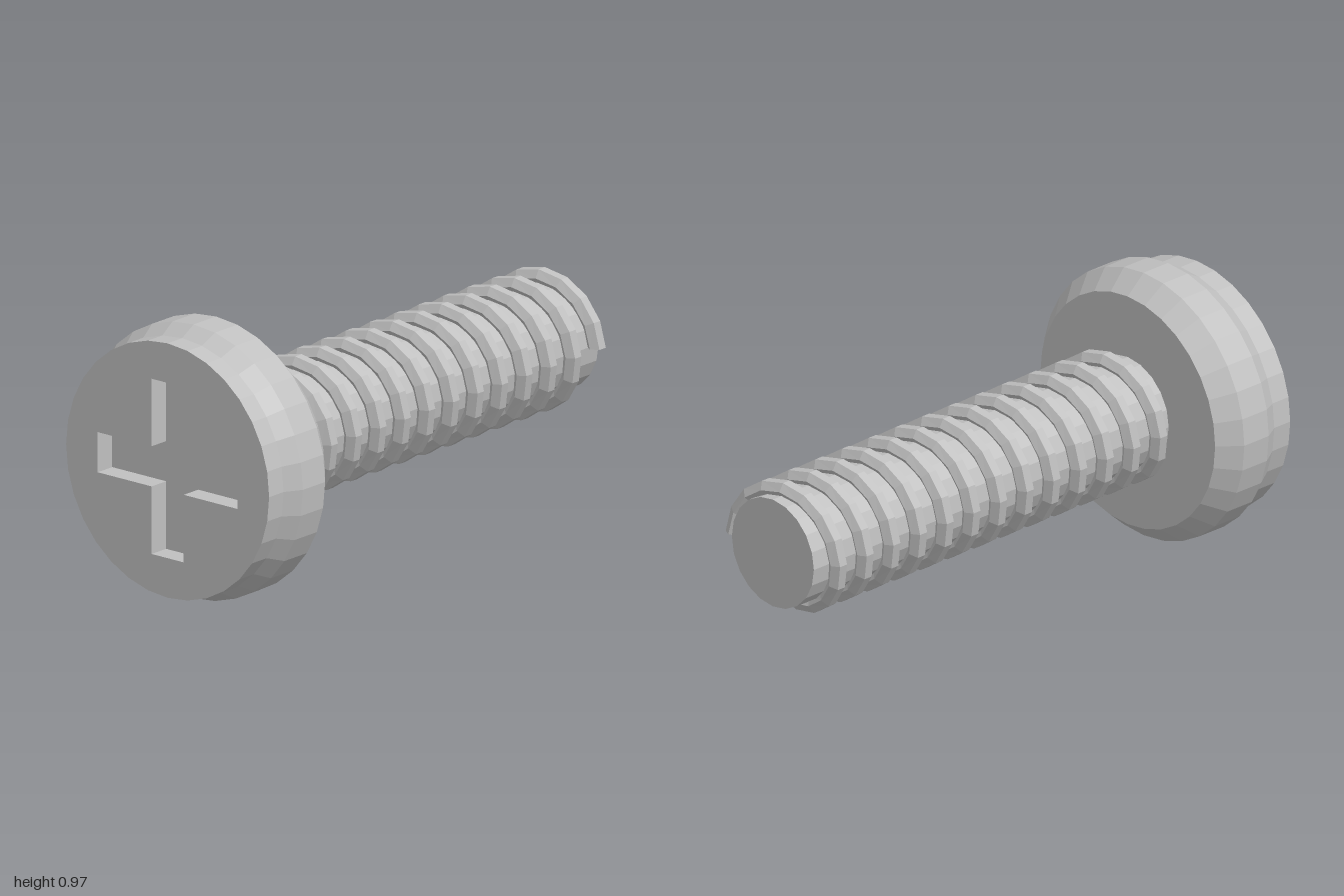
import * as THREE from 'three';

const AXIS_Y = 0.486;
const SHAFT_R = 0.197;

// Closed hexagonal ridge wound around the z axis
function helixGeometry({ radius, ridge, pitch, zTop, start, end, stepsPerTurn }) {
  const sides = 6;
  const steps = Math.round(((end - start) / (2 * Math.PI)) * stepsPerTurn);
  const pos = [];
  const idx = [];
  for (let i = 0; i <= steps; i++) {
    const t = start + ((end - start) * i) / steps;
    const z = zTop - (pitch * t) / (2 * Math.PI);
    for (let j = 0; j < sides; j++) {
      const a = ((j + 0.5) / sides) * 2 * Math.PI;
      const r = radius + ridge * Math.cos(a);
      pos.push(r * Math.sin(t), r * Math.cos(t), z + ridge * Math.sin(a));
    }
  }
  for (let i = 0; i < steps; i++) {
    for (let j = 0; j < sides; j++) {
      const k = (j + 1) % sides;
      const a = i * sides + j, b = i * sides + k;
      idx.push(a, b, b + sides, a, b + sides, a + sides);
    }
  }
  // End caps
  const last = steps * sides;
  for (let j = 1; j < sides - 1; j++) {
    idx.push(0, j + 1, j, last, last + j, last + j + 1);
  }
  const g = new THREE.BufferGeometry();
  g.setAttribute('position', new THREE.Float32BufferAttribute(pos, 3));
  g.setIndex(idx);
  g.computeVertexNormals();
  return g;
}

// Plus-shaped outline for the driver recess
function crossPath(length, half) {
  const l = length, h = half;
  return new THREE.Path([
    [h, h], [h, l], [-h, l], [-h, h], [-l, h], [-l, -h],
    [-h, -h], [-h, -l], [h, -l], [h, -h], [l, -h], [l, h],
  ].map(([x, y]) => new THREE.Vector2(x, y)));
}

export function createModel() {
  const model = new THREE.Group();
  model.name = 'screw';
  const steel = new THREE.MeshStandardMaterial({ color: 0xc0c0c0, flatShading: true });
  steel.name = 'steel grey';

  const add = (name, geometry) => {
    const mesh = new THREE.Mesh(geometry, steel);
    mesh.name = name;
    mesh.position.y = AXIS_Y;
    model.add(mesh);
  };

  // Head with bevelled rims; its front is the floor of the recess
  const profile = [
    [0, 0.675], [0.42, 0.675], [0.484, 0.75], [0.484, 0.865], [0.45, 0.925], [0, 0.925],
  ].map(([r, z]) => new THREE.Vector2(r, z));
  add('head', new THREE.LatheGeometry(profile, 32).rotateX(Math.PI / 2));

  // Front plate with the cross cut through it
  const disc = new THREE.Shape();
  for (let i = 0; i < 32; i++) {
    const a = (i / 32) * 2 * Math.PI;
    disc[i ? 'lineTo' : 'moveTo'](0.45 * Math.cos(a), 0.45 * Math.sin(a));
  }
  disc.holes.push(crossPath(0.31, 0.071));
  const plate = new THREE.ExtrudeGeometry(disc, { depth: 0.075, bevelEnabled: false });
  add('crossRecessPlate', plate.translate(0, 0, 0.925));

  // Shaft
  const shaft = new THREE.CylinderGeometry(SHAFT_R, SHAFT_R, 1.675, 20);
  add('shaft', shaft.rotateX(Math.PI / 2).translate(0, 0, -0.1625));

  // Thread: starts below the axis and ends on the +x side
  add('thread', helixGeometry({
    radius: 0.214, ridge: 0.033, pitch: 0.126, zTop: 0.576,
    start: -Math.PI, end: 24.5 * Math.PI, stepsPerTurn: 16,
  }));

  return model;
}
